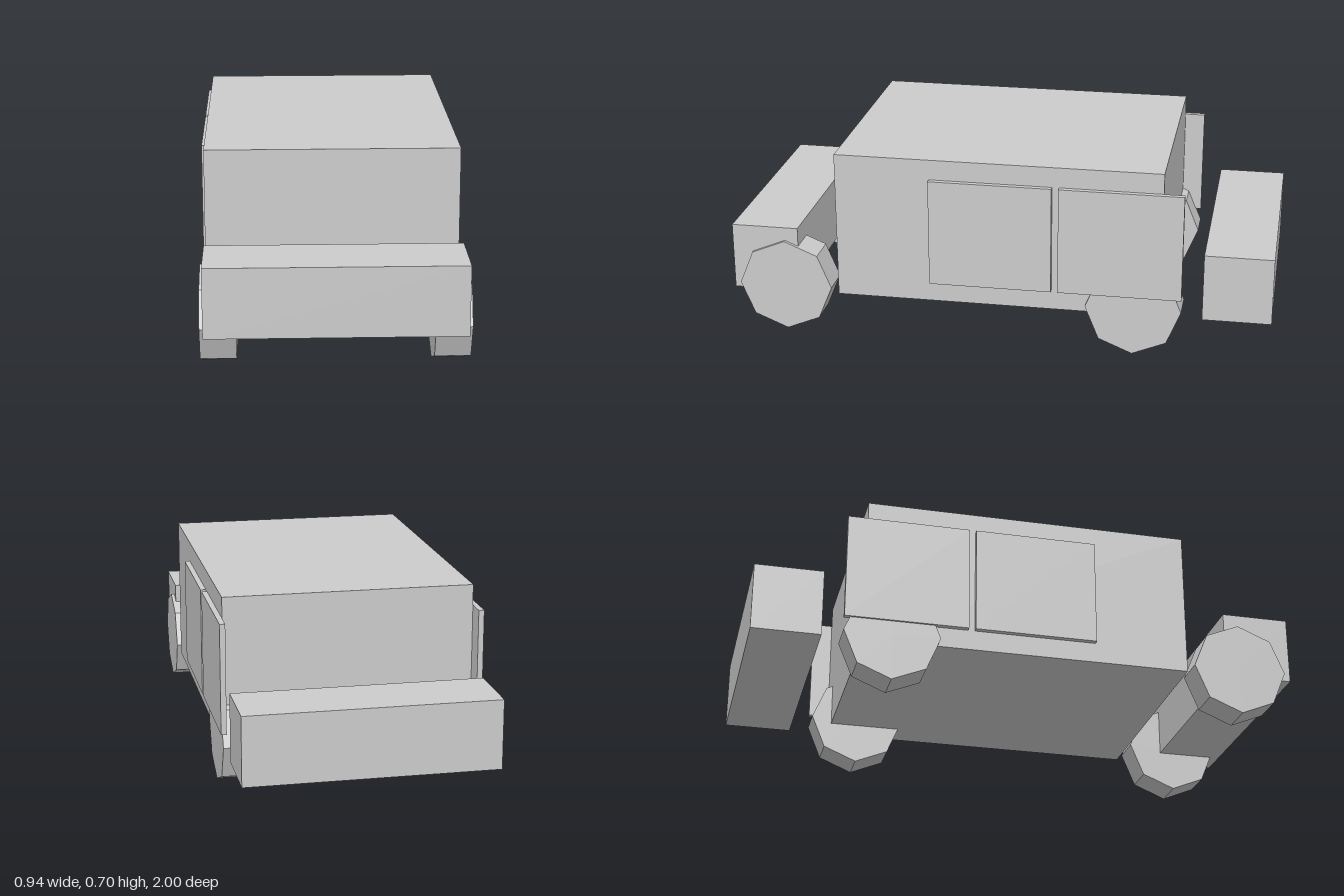
import * as THREE from 'three';

const material = new THREE.MeshStandardMaterial({ color: 0xcccccc, flatShading: true });

function add(parent, name, geometry, x, y, z) {
  const mesh = new THREE.Mesh(geometry, material);
  mesh.name = name;
  mesh.position.set(x, y, z);
  parent.add(mesh);
  return mesh;
}

export function createModel() {
  const car = new THREE.Group();
  car.name = 'car';

  // Cabin block
  add(car, 'body', new THREE.BoxGeometry(0.9, 0.55, 1.2), 0, 0.425, 0);

  // Separate blocks ahead of and behind the cabin
  const bumper = new THREE.BoxGeometry(0.9, 0.25, 0.25);
  add(car, 'frontBumper', bumper, 0, 0.275, 0.875);
  add(car, 'rearBumper', bumper, 0, 0.275, -0.875);

  // Eight-sided wheels, with a corner pointing straight down
  const wheel = new THREE.CylinderGeometry(0.175, 0.175, 0.125, 8);
  wheel.rotateZ(Math.PI / 2);

  // Thin door panels; the rear one overhangs the cabin
  const door = new THREE.BoxGeometry(0.02, 0.4, 0.45);

  for (const [side, s] of [['left', 1], ['right', -1]]) {
    add(car, side + 'FrontWheel', wheel, s * 0.4, 0.175, 0.8);
    add(car, side + 'RearWheel', wheel, s * 0.4, 0.175, -0.5);
    add(car, side + 'FrontDoor', door, s * 0.46, 0.425, 0.025);
    add(car, side + 'RearDoor', door, s * 0.46, 0.425, -0.45);
  }
  return car;
}
